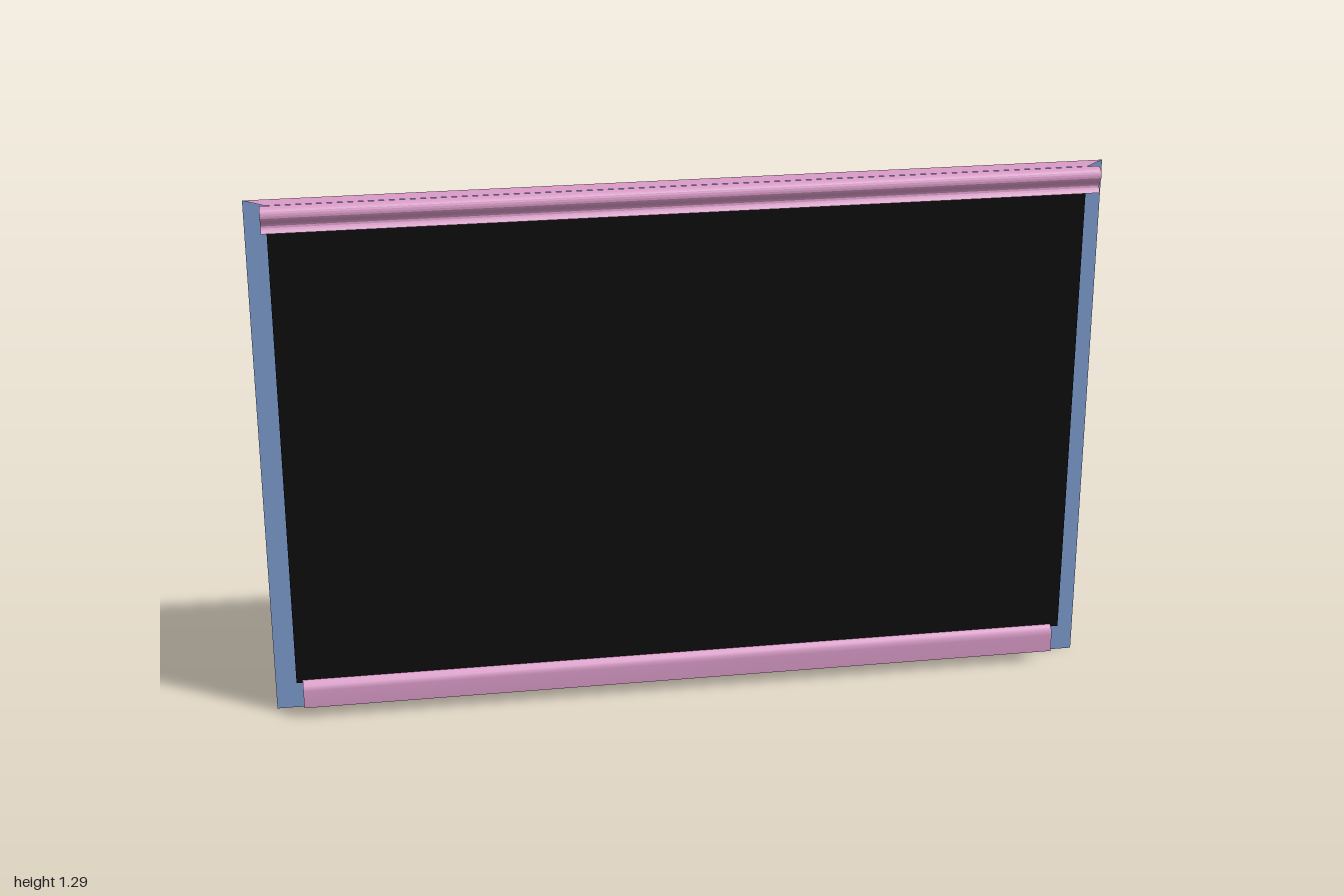
import * as THREE from 'three';

const S = THREE.DoubleSide;
const mat = (name, color) => {
  const m = new THREE.MeshStandardMaterial({ color, side: S });
  m.name = name;
  return m;
};

// Open sheet swept across x; rows are [z, y, xMin, xMax]
function sheet(rows) {
  const pos = [], idx = [];
  rows.forEach(([z, y, x0, x1], i) => {
    pos.push(x0, y, z, x1, y, z);
    if (i) {
      const a = 2 * (i - 1);
      idx.push(a, a + 1, a + 3, a, a + 3, a + 2);
    }
  });
  const g = new THREE.BufferGeometry();
  g.setAttribute('position', new THREE.Float32BufferAttribute(pos, 3));
  g.setIndex(idx);
  g.computeVertexNormals();
  return g;
}

export function createModel() {
  const group = new THREE.Group();
  const blue = mat('blue panel', 0x7e9ed2);
  const pink = mat('pink trim', 0xdb9cc9);
  const black = mat('black screen', 0x0d0d0d);
  const add = (name, geometry, material) => {
    const m = new THREE.Mesh(geometry, material);
    m.name = name;
    group.add(m);
  };

  // Backing panel, seen behind the screen on both sides
  add('backPanel', sheet([[-0.035, 0, -1, 1], [-0.035, 1.29, -1, 1]]), blue);

  // Screen surface, leaning very slightly forward at the top
  add('screen', sheet([[0.012, 0.09, -0.95, 0.947], [0.018, 1.28, -0.95, 0.947]]), black);

  // Flat top ledge, tapering towards the front
  add('topLedge', sheet([[0.012, 1.29, -0.95, 0.95], [-0.035, 1.29, -1, 1]]), pink);

  // Curved lip along the bottom
  add('bottomLip', sheet([
    [0.03, 0.03, -0.935, 0.927], [0.03, 0.075, -0.935, 0.927],
    [0.027, 0.087, -0.935, 0.927], [0.02, 0.094, -0.935, 0.927],
    [0.012, 0.097, -0.935, 0.927],
  ]), pink);

  // S-shaped moulding along the top, drawn in (-z, y) and extruded along x
  const front = new THREE.SplineCurve([[0.014, 1.29], [0.03, 1.285], [0.036, 1.267], [0.024, 1.246], [0.032, 1.23]]
    .map(([z, y]) => new THREE.Vector2(-z, y))).getPoints(16);
  const back = new THREE.SplineCurve([[0.01, 1.23], [0.005, 1.247], [0.021, 1.268], [0.014, 1.285]]
    .map(([z, y]) => new THREE.Vector2(-z, y))).getPoints(12);
  const rail = new THREE.ExtrudeGeometry(new THREE.Shape([...front, ...back]),
    { depth: 1.94, bevelEnabled: false });
  rail.rotateY(Math.PI / 2).translate(-0.963, 0, 0);
  add('topMoulding', rail, pink);

  return group;
}
